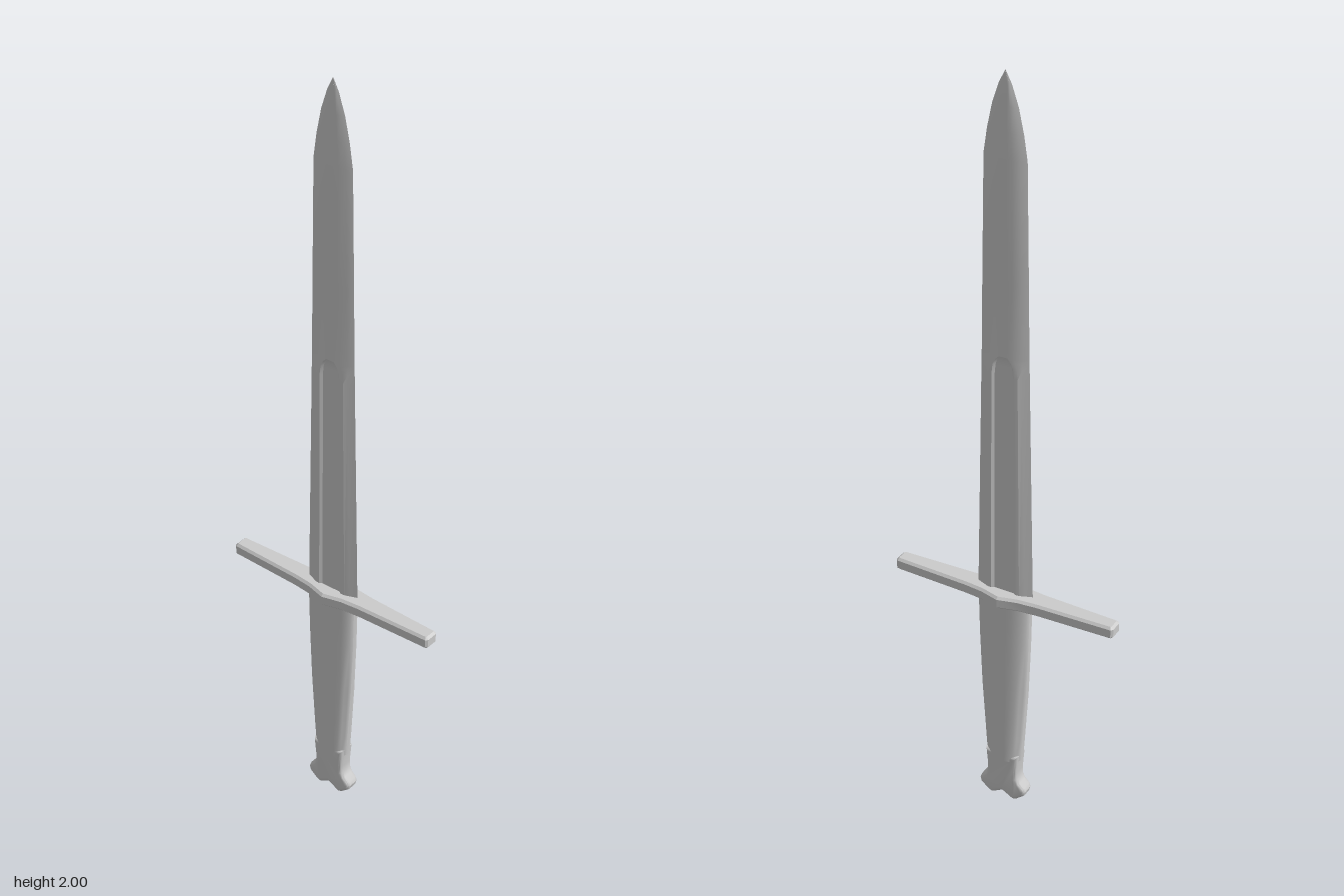
import * as THREE from 'three';
import { toCreasedNormals } from 'three/addons/utils/BufferGeometryUtils.js';

const material = new THREE.MeshStandardMaterial({ color: 0xcccccc });

function addPart(group, name, geometry, crease) {
  const mesh = new THREE.Mesh(toCreasedNormals(geometry, crease), material);
  mesh.name = name;
  group.add(mesh);
}

// Skins rings of [x, y, z] points, listed bottom to top, and caps both ends
function loft(rings) {
  const n = rings[0].length;
  const points = rings.flat();
  const index = [];
  for (let r = 0; r < rings.length - 1; r++) {
    for (let i = 0; i < n; i++) {
      const j = (i + 1) % n;
      const a = r * n + i, b = r * n + j;
      index.push(a, b, b + n, a, b + n, a + n);
    }
  }
  const last = (rings.length - 1) * n;
  const bottom = points.push([0, rings[0][0][1], 0]) - 1;
  const top = points.push([0, rings[rings.length - 1][0][1], 0]) - 1;
  for (let i = 0; i < n; i++) {
    const j = (i + 1) % n;
    index.push(bottom, j, i, top, last + i, last + j);
  }
  const geometry = new THREE.BufferGeometry();
  geometry.setAttribute('position', new THREE.Float32BufferAttribute(points.flat(), 3));
  geometry.setIndex(index);
  return geometry;
}

// Lens-shaped blade section: half width w, half thickness t, groove half width f and depth d
function bladeRing([y, w, t, f, d]) {
  const side = [
    [0, w], [t * 0.55, w * 0.75], [t * 0.93, f + (w - f) * 0.25],
    [t, f], [t - d, f * 0.8], [t - d, 0],
  ];
  const half = [...side, ...side.slice(1, 5).reverse().map(([x, z]) => [x, -z])];
  return [
    ...half.map(([x, z]) => [x, y, z]),
    ...half.map(([x, z]) => [-x, y, -z]),
  ];
}

// Rounded oval section for the grip
function ovalRing([y, hx, hz]) {
  return Array.from({ length: 28 }, (_, i) => {
    const a = (i / 28) * Math.PI * 2;
    return [Math.cos(a) * hx, y, -Math.sin(a) * hz];
  });
}

// Closed shape from half an outline, mirrored across its vertical axis
function mirroredShape(half) {
  const other = half.filter(([x]) => x !== 0).reverse().map(([x, y]) => [-x, y]);
  return new THREE.Shape([...half, ...other].map(([x, y]) => new THREE.Vector2(x, y)));
}

function bevelled(shape, thickness, bevel, segments) {
  const geometry = new THREE.ExtrudeGeometry(shape, {
    depth: thickness - 2 * bevel, bevelThickness: bevel, bevelSize: bevel,
    bevelOffset: -bevel, bevelSegments: segments,
  });
  return geometry.translate(0, 0, bevel - thickness / 2);
}

export function createModel() {
  const dagger = new THREE.Group();
  dagger.name = 'dagger';

  // Blade with a round-ended groove on both faces
  addPart(dagger, 'blade', loft([
    [0.63, 0.077, 0.013, 0.034, 0.005],
    [1.26, 0.064, 0.013, 0.03, 0.005],
    [1.285, 0.0635, 0.013, 0.027, 0.005],
    [1.3, 0.063, 0.013, 0.02, 0.004],
    [1.31, 0.0628, 0.013, 0.012, 0],
    [1.5, 0.06, 0.013, 0.012, 0],
    [1.8, 0.055, 0.012, 0.011, 0],
    [1.86, 0.046, 0.01, 0.009, 0],
    [1.92, 0.033, 0.007, 0.007, 0],
    [1.97, 0.016, 0.004, 0.003, 0],
    [2.0, 0.0005, 0.0005, 0.0001, 0],
  ].map(bladeRing)), 0.35);

  // Crossguard, widest at the blade, with chamfered edges
  const guardShape = mirroredShape([
    [0.015, -0.305], [0.021, -0.3], [0.028, -0.1], [0.033, -0.05], [0.046, 0],
    [0.033, 0.05], [0.028, 0.1], [0.021, 0.3], [0.015, 0.305],
  ]);
  const guard = bevelled(guardShape, 0.034, 0.006, 1);
  guard.rotateX(Math.PI / 2).translate(0, 0.637, 0);
  addPart(dagger, 'crossguard', guard, 0.3);

  // Tapered oval grip
  addPart(dagger, 'grip', loft([
    [0.13, 0.03, 0.05],
    [0.2, 0.031, 0.055],
    [0.35, 0.031, 0.065],
    [0.5, 0.031, 0.071],
    [0.63, 0.031, 0.074],
  ].map(ovalRing)), 0.6);

  // Pommel with a waist and two flared lobes
  const pommelShape = mirroredShape([
    [0, 0.022], [0.03, 0.005], [0.04, 0.008], [0.064, 0.028], [0.067, 0.04],
    [0.063, 0.05], [0.05, 0.062], [0.044, 0.075], [0.043, 0.095], [0.047, 0.15],
  ]);
  const pommel = bevelled(pommelShape, 0.052, 0.012, 4);
  pommel.rotateY(-Math.PI / 2);
  const position = pommel.attributes.position;
  for (let i = 0; i < position.count; i++) {
    // Narrow the pommel towards its foot
    position.setX(i, position.getX(i) * (0.78 + 1.5 * position.getY(i)));
    position.setY(i, (position.getY(i) - 0.005) * 1.03);
  }
  addPart(dagger, 'pommel', pommel, 0.6);

  return dagger;
}
